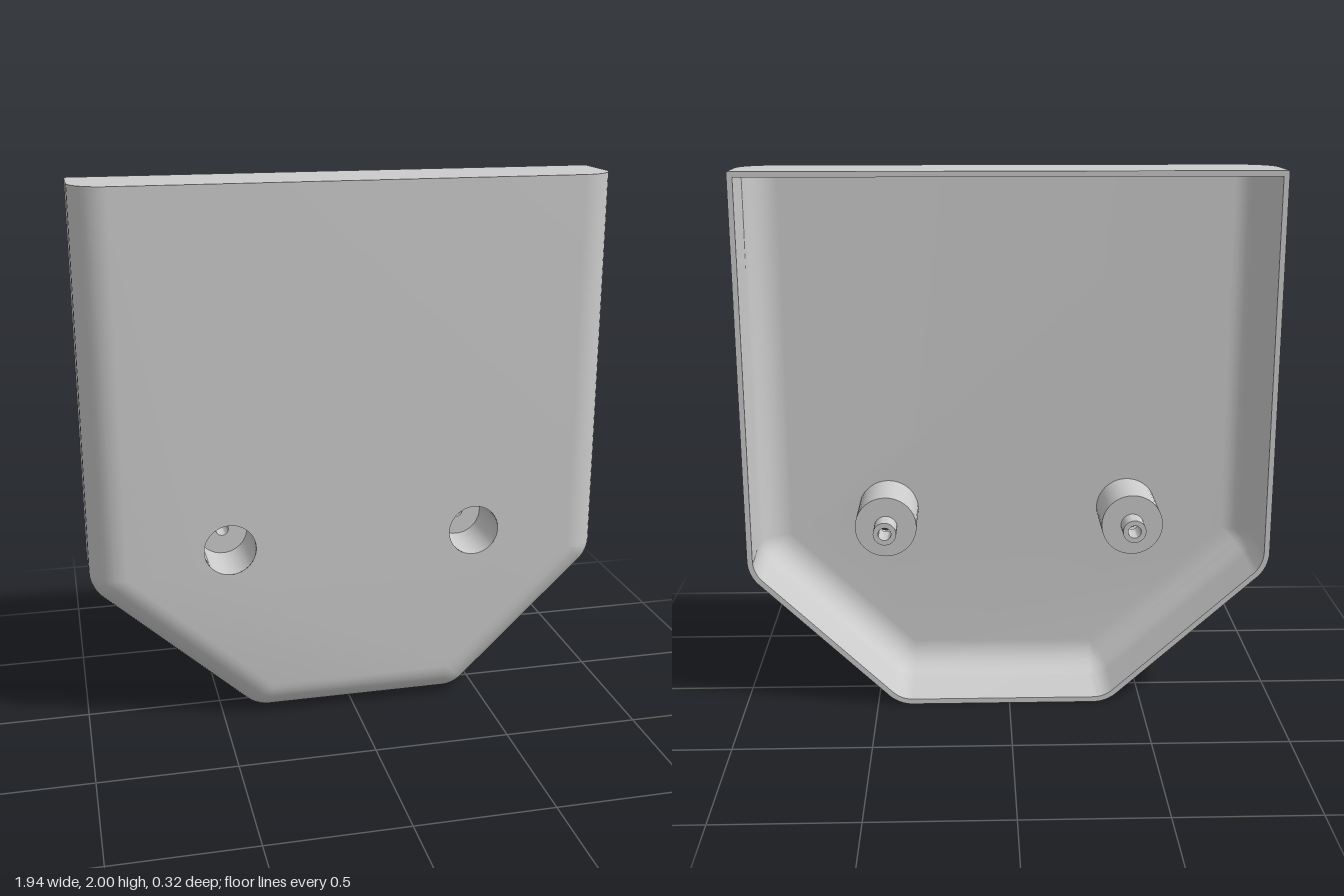
import * as THREE from 'three';
import { mergeGeometries, toCreasedNormals } from 'three/addons/utils/BufferGeometryUtils.js';

const V = (x, y) => new THREE.Vector2(x, y);
const R = 0.13;        // edge rounding
const WALL = 0.02;     // wall thickness
const BACK = -0.16, FRONT = 0.16, TOP = 2;
const BOSSES = [[-0.464, 0.685], [0.461, 0.685]];

// Sharp outline, counter-clockwise from the top at -x to the top at +x
const OUTLINE = [V(-0.97, TOP), V(-0.97, 0.54), V(-0.37, 0), V(0.42, 0), V(0.97, 0.53), V(0.97, TOP)];

// Outline with rounded corners: the inner core grown outwards by rho
function ring(rho, top) {
  const normals = OUTLINE.slice(1).map((p, i) => {
    const d = p.clone().sub(OUTLINE[i]).normalize();
    return V(d.y, -d.x);
  });
  const pts = [V(-0.97 + R - rho, top)];
  for (let i = 1; i < OUTLINE.length - 1; i++) {
    const n1 = normals[i - 1], n2 = normals[i];
    const core = OUTLINE[i].clone().addScaledVector(n1.clone().add(n2), -R / (1 + n1.dot(n2)));
    const a1 = Math.atan2(n1.y, n1.x), turn = Math.acos(n1.dot(n2));
    for (let s = 0; s <= 8; s++) {
      const a = a1 + turn * s / 8;
      pts.push(V(core.x + rho * Math.cos(a), core.y + rho * Math.sin(a)));
    }
  }
  pts.push(V(0.97 - R + rho, top));
  return pts;
}

function flip(geo) {
  const ix = geo.index.array;
  for (let i = 0; i < ix.length; i += 3) [ix[i], ix[i + 1]] = [ix[i + 1], ix[i]];
  return geo;
}

// Side walls, top wall and rounded front edge, lofted through rings
function walls(rho, front, top) {
  const sections = [[rho, BACK]];
  for (let s = 0; s <= 10; s++) {
    const a = s / 10 * Math.PI / 2;
    sections.push([s === 10 ? 0 : rho * Math.cos(a), front - rho + rho * Math.sin(a)]);
  }
  const pos = [], index = [];
  let n = 0;
  for (const [r, z] of sections) {
    const pts = ring(r, top);
    n = pts.length;
    pts.forEach(p => pos.push(p.x, p.y, z));
  }
  for (let j = 0; j < sections.length - 1; j++) {
    for (let k = 0; k < n; k++) {
      const a = j * n + k, b = j * n + (k + 1) % n;
      index.push(a, b, b + n, a, b + n, a + n);
    }
  }
  const geo = new THREE.BufferGeometry();
  geo.setAttribute('position', new THREE.Float32BufferAttribute(pos, 3));
  geo.setIndex(index);
  return geo;
}

// Flat face at depth z with holes
function plate(points, holes, z) {
  const shape = new THREE.Shape(points);
  shape.holes.push(...holes);
  return new THREE.ShapeGeometry(shape, 32).translate(0, 0, z);
}

const bores = r => BOSSES.map(([x, y]) => new THREE.Path().absarc(x, y, r, 0, Math.PI * 2, true));

function finish(parts, crease) {
  parts.forEach(g => { g.deleteAttribute('uv'); g.deleteAttribute('normal'); });
  return toCreasedNormals(mergeGeometries(parts), crease);
}

export function createModel() {
  const group = new THREE.Group();
  const material = new THREE.MeshStandardMaterial({ color: 0xcccccc });

  // Hollow cover, open at the back
  const coreFace = top => ring(0, top).filter((p, i, a) => !i || p.distanceTo(a[i - 1]) > 1e-5);
  const cover = new THREE.Mesh(finish([
    walls(R, FRONT, TOP),
    plate(coreFace(TOP), bores(0.095), FRONT),
    flip(walls(R - WALL, FRONT - WALL, TOP - WALL)),
    flip(plate(coreFace(TOP - WALL), bores(0.105), FRONT - WALL)),
    flip(plate(ring(R, TOP), [new THREE.Path(ring(R - WALL, TOP - WALL))], BACK)),
  ], 0.6), material);
  cover.name = 'cover';
  group.add(cover);

  // Counterbored screw bosses, each with a small hollow pin
  const profile = [
    V(0.095, FRONT), V(0.095, -0.06), V(0.024, -0.06), V(0.024, BACK),
    V(0.043, BACK), V(0.043, -0.08), V(0.115, -0.08), V(0.115, FRONT - WALL),
  ];
  const bossGeo = finish([new THREE.LatheGeometry(profile, 40).rotateX(Math.PI / 2)], 0.6);
  BOSSES.forEach(([x, y], i) => {
    const boss = new THREE.Mesh(bossGeo, material);
    boss.name = i ? 'leftScrewBoss' : 'rightScrewBoss';
    boss.position.set(x, y, 0);
    group.add(boss);
  });
  return group;
}
